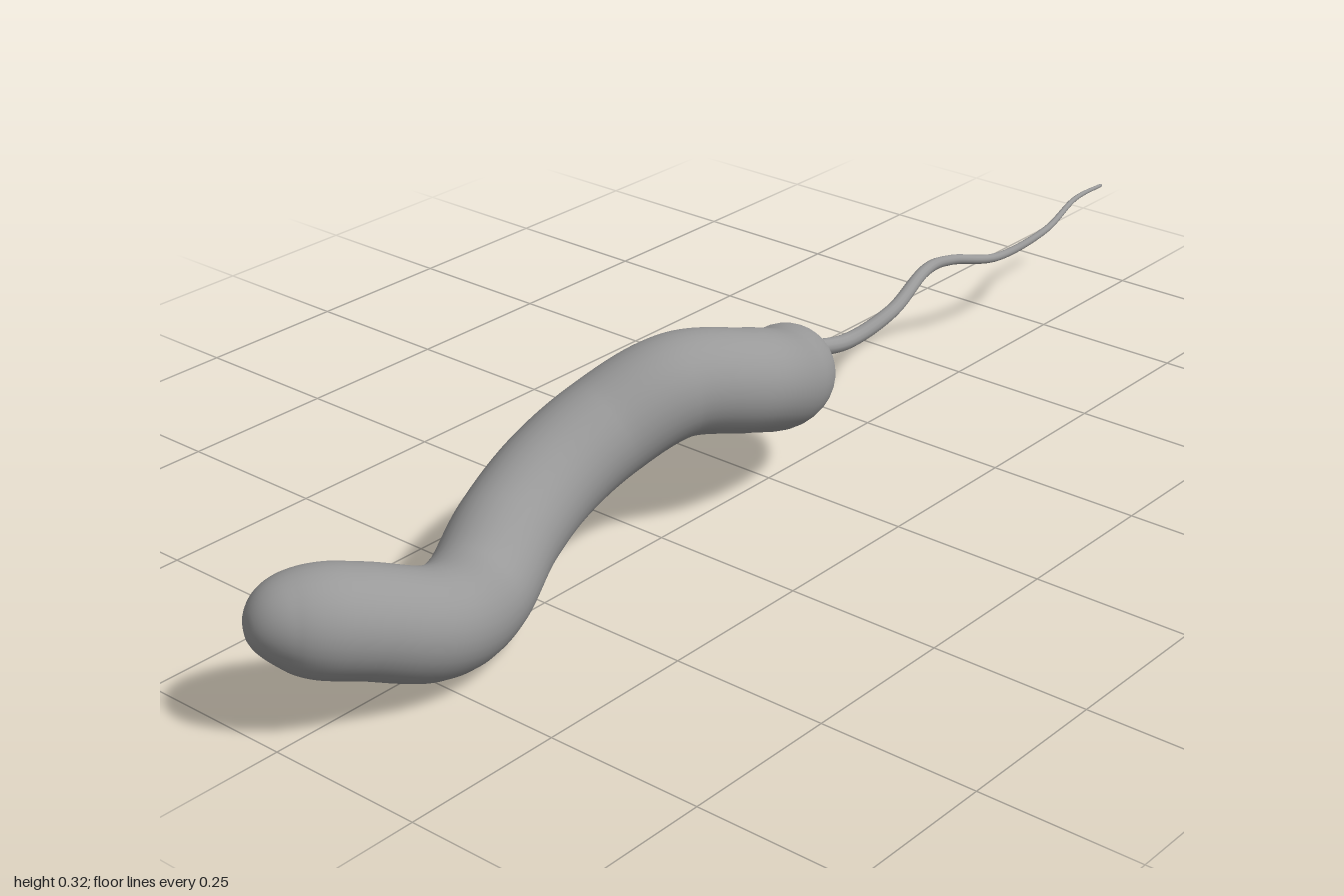
import * as THREE from 'three';
import { mergeVertices } from 'three/addons/utils/BufferGeometryUtils.js';

const CENTRE_Y = 0.161;
const BODY_Z = 0.435; // middle of the body along z

// Tube along a curve whose radius follows radiusAt(t), t = 0..1
function taperedTube(curve, segments, sides, radiusAt) {
  const tube = new THREE.TubeGeometry(curve, segments, 1, sides);
  const pos = tube.attributes.position;
  const v = new THREE.Vector3();
  for (let i = 0; i <= segments; i++) {
    const centre = curve.getPointAt(i / segments);
    const r = radiusAt(i / segments);
    for (let j = 0; j <= sides; j++) {
      const k = i * (sides + 1) + j;
      v.fromBufferAttribute(pos, k).sub(centre).multiplyScalar(r).add(centre);
      pos.setXYZ(k, v.x, v.y, v.z);
    }
  }
  tube.deleteAttribute('normal');
  tube.deleteAttribute('uv');
  const merged = mergeVertices(tube, 1e-5);
  merged.computeVertexNormals();
  return merged;
}

export function createModel() {
  const group = new THREE.Group();
  const grey = new THREE.MeshStandardMaterial({ color: 0x999999 });
  grey.name = 'grey';

  // Corkscrew body: half of the centre line as [x, drop in y, distance from middle]
  const half = [
    [0.0, 0.042, 0.1], [0.022, 0.082, 0.21], [0.045, 0.06, 0.325],
    [0.022, 0.018, 0.43], [-0.022, -0.003, 0.515], [-0.045, -0.006, 0.565],
  ];
  half[0][0] = -0.032;
  half[1][0] = 0.008;
  const front = half.map(([x, d, u]) => new THREE.Vector3(x, CENTRE_Y - d, BODY_Z + u));
  const back = half.map(([x, d, u]) => new THREE.Vector3(x, CENTRE_Y + d, BODY_Z - u));
  const spine = new THREE.CatmullRomCurve3([
    ...front.reverse(), new THREE.Vector3(-0.045, CENTRE_Y, BODY_Z), ...back,
  ]);
  const length = spine.getLength();
  const cap = 0.12; // length of each rounded end
  const bodyRadius = (t) => {
    const fromEnd = Math.min(t, 1 - t) * length;
    const q = Math.max(0, 1 - fromEnd / cap);
    return 0.078 * Math.sqrt(Math.max(0, 1 - q * q));
  };
  const body = new THREE.Mesh(taperedTube(spine, 320, 32, bodyRadius), grey);
  body.name = 'body';
  group.add(body);

  // Thin wavy tail, tapering to its tip
  const tailPath = new THREE.CatmullRomCurve3([
    [-0.04, 0.17, -0.07], [-0.045, 0.159, -0.13], [-0.031, 0.142, -0.23],
    [-0.018, 0.163, -0.33], [-0.04, 0.189, -0.45], [-0.066, 0.166, -0.56],
    [-0.048, 0.141, -0.67], [-0.027, 0.16, -0.78], [-0.04, 0.181, -0.89],
    [-0.054, 0.172, -1],
  ].map((p) => new THREE.Vector3(...p)));
  const tail = new THREE.Mesh(
    taperedTube(tailPath, 120, 12, (t) => (t === 1 ? 0 : 0.015 - 0.012 * t)), grey);
  tail.name = 'tail';
  group.add(tail);

  return group;
}
